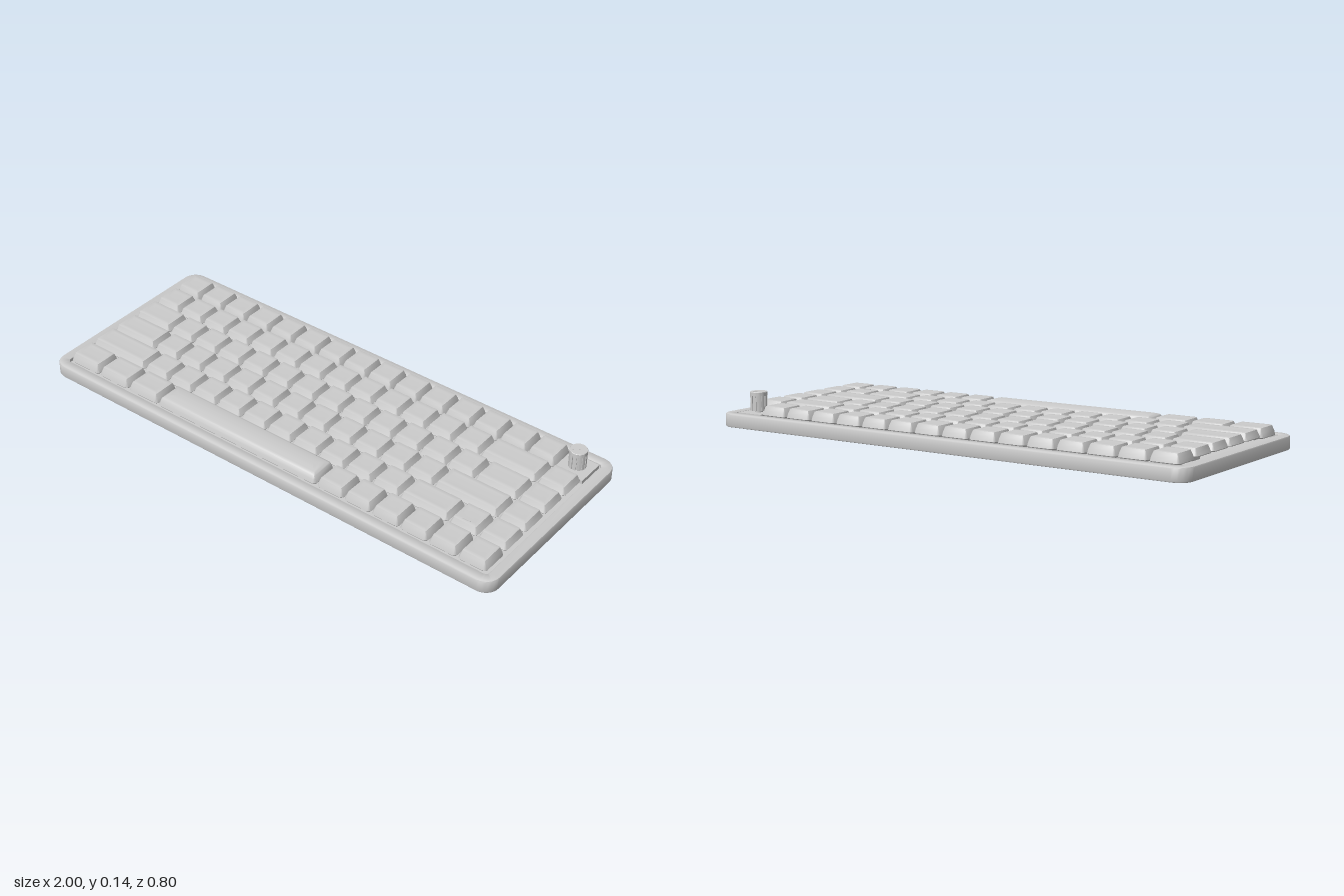
import * as THREE from 'three';
import { toCreasedNormals } from 'three/addons/utils/BufferGeometryUtils.js';

const U = 0.119; // key pitch
const material = new THREE.MeshStandardMaterial({ color: 0xcccccc });

// Closed solid lofted through rounded rectangles; rings are [inset, y], bottom to top
function loft(w, d, radius, rings, seg = 4) {
  const pos = [], index = [], n = 4 * (seg + 1);
  for (const [inset, y] of rings) {
    const hw = Math.max(w / 2 - inset, 0.001), hd = Math.max(d / 2 - inset, 0.001);
    const r = Math.min(Math.max(radius - inset, 0.004), hw, hd);
    for (let c = 0; c < 4; c++) {
      const sx = c === 0 || c === 3 ? 1 : -1, sz = c < 2 ? 1 : -1;
      for (let s = 0; s <= seg; s++) {
        const a = (c + s / seg) * Math.PI / 2;
        pos.push(sx * (hw - r) + r * Math.cos(a), y, sz * (hd - r) + r * Math.sin(a));
      }
    }
  }
  const last = (rings.length - 1) * n, bottom = rings.length * n, top = bottom + 1;
  pos.push(0, rings[0][1], 0, 0, rings[rings.length - 1][1], 0);
  for (let j = 0; j < n; j++) {
    const k = (j + 1) % n;
    for (let i = 0; i < last; i += n) {
      index.push(i + j, i + n + j, i + k, i + k, i + n + j, i + n + k);
    }
    index.push(bottom, j, k, top, last + k, last + j);
  }
  const g = new THREE.BufferGeometry();
  g.setAttribute('position', new THREE.Float32BufferAttribute(pos, 3));
  g.setIndex(index);
  return toCreasedNormals(g, 0.6);
}

function add(parent, name, geometry, x = 0, y = 0, z = 0) {
  const mesh = new THREE.Mesh(geometry, material);
  mesh.name = name;
  mesh.position.set(x, y, z);
  parent.add(mesh);
  return mesh;
}

// Tapered keycap, dished on top, or domed for the space bar
function keycap(units, base, domed) {
  const crown = domed
    ? [[0.010, 0.089], [0.014, 0.093], [0.022, 0.096], [0.035, 0.099], [0.055, 0.1]]
    : [[0.010, 0.089], [0.012, 0.0935], [0.016, 0.0955], [0.028, 0.0945], [0.05, 0.0938]];
  return loft(units * U - 0.005, U - 0.005, 0.016,
    [[0.002, base], [0, base + 0.003], [0.004, 0.076], ...crown]);
}

// Fluted dial with a solid cap and a pointer mark
function createKnob() {
  const knob = new THREE.Group();
  knob.name = 'knob';
  const shape = new THREE.Shape();
  const flutes = 12;
  for (let i = 0; i < flutes; i++) {
    [[0, 0.0325], [0.35, 0.0325], [0.7, 0.0325], [0.72, 0.029], [0.98, 0.029]].forEach(([t, r], k) => {
      const a = (i + t) / flutes * Math.PI * 2;
      shape[i + k === 0 ? 'moveTo' : 'lineTo'](r * Math.cos(a), r * Math.sin(a));
    });
  }
  shape.closePath();
  const body = new THREE.ExtrudeGeometry(shape, { depth: 0.058, bevelEnabled: false });
  body.rotateX(-Math.PI / 2);
  add(knob, 'knobBody', body, 0, 0.067, 0);
  const profile = [[0, 0.124], [0.0325, 0.124], [0.0325, 0.137], [0.031, 0.139], [0, 0.139]];
  const cap = new THREE.LatheGeometry(profile.map(([r, y]) => new THREE.Vector2(r, y)), 40);
  add(knob, 'knobCap', toCreasedNormals(cap, 0.6));
  add(knob, 'knobShaft', new THREE.CylinderGeometry(0.015, 0.015, 0.02, 20), 0, 0.06, 0);
  const mark = add(knob, 'knobPointer', new THREE.BoxGeometry(0.044, 0.001, 0.004), 0, 0.139, 0);
  mark.rotation.y = Math.PI / 4;
  return knob;
}

export function createModel() {
  const model = new THREE.Group();
  model.name = 'keyboard';

  // Case with softened edges and a recessed key well
  add(model, 'case', loft(2, 0.8, 0.055, [
    [0.006, 0.008], [0.002, 0.0095], [0, 0.014], [0, 0.054], [0.002, 0.058], [0.006, 0.06],
    [0.037, 0.06], [0.04, 0.058], [0.04, 0.045],
  ], 8));

  // Thin sheet under the case
  const w = 0.99, d = 0.39, r = 0.045;
  const sheet = new THREE.Shape();
  sheet.absarc(w - r, d - r, r, 0, Math.PI / 2);
  sheet.absarc(r - w, d - r, r, Math.PI / 2, Math.PI);
  sheet.absarc(r - w, r - d, r, Math.PI, Math.PI * 1.5);
  sheet.absarc(w - r, r - d, r, Math.PI * 1.5, Math.PI * 2);
  const sheetGeometry = new THREE.ShapeGeometry(sheet, 8);
  sheetGeometry.rotateX(Math.PI / 2);
  add(model, 'bottomSheet', sheetGeometry);

  // Key widths in units, back row to front row
  const ones = (n) => Array(n).fill(1);
  const rows = [
    ones(15),
    [...ones(13), 2, 1],
    [1.5, ...ones(12), 1.5, 1],
    [1.75, ...ones(11), 2.25, 1],
    [2.25, ...ones(10), 1.75, 1, 1],
    [1.25, 1.25, 1.25, 6.25, ...ones(6)],
  ];
  const keys = new THREE.Group();
  keys.name = 'keys';
  model.add(keys);
  const cache = {};
  const stem = new THREE.BoxGeometry(0.05, 0.03, 0.05);
  rows.forEach((row, i) => {
    const base = i === 0 || i === 5 ? 0.058 : 0.065;
    const z = (i - 2.5) * U;
    let left = -8;
    for (const units of row) {
      const x = (left + units / 2) * U;
      const domed = units > 6;
      const id = units + '/' + base;
      cache[id] ??= keycap(units, base, domed);
      add(keys, domed ? 'spaceBar' : 'keycap', cache[id], x, 0, z);
      add(keys, 'keyStem', stem, x, 0.058, z);
      left += units;
    }
  });

  // Locating ridge on one key
  add(keys, 'keyRidge', new THREE.BoxGeometry(0.03, 0.004, 0.005), 6.5 * U, 0.0945, 1.5 * U + 0.032);

  // Flat pad and dial in the back corner
  add(model, 'knobPad', new THREE.BoxGeometry(U - 0.006, 0.015, U - 0.006), 7.5 * U, 0.0525, -2.5 * U);
  const knob = createKnob();
  knob.position.set(7.5 * U, 0, -2.5 * U);
  model.add(knob);

  return model;
}
